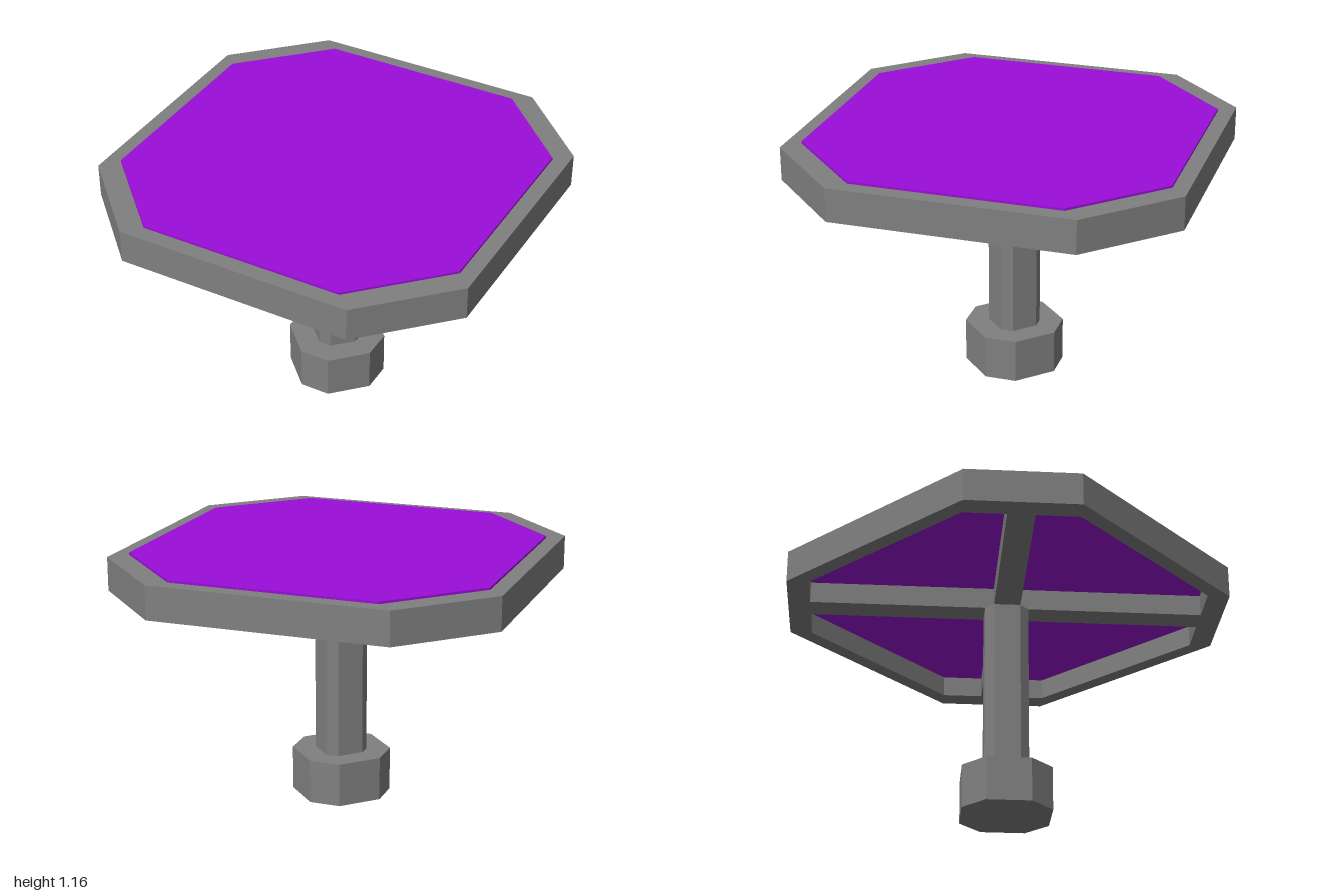
import * as THREE from 'three';

// Corners of an octagon: half-width r, half-length of its axis-facing sides s
const octagon = (r, s) =>
  [[r, -s], [r, s], [s, r], [-s, r], [-r, s], [-r, -s], [-s, -r], [s, -r]]
    .map(([x, y]) => new THREE.Vector2(x, y));

// Upright octagonal prism from y0 to y1, optionally hollow
function prism(outer, y0, y1, inner) {
  const shape = new THREE.Shape(octagon(...outer));
  if (inner) shape.holes.push(new THREE.Path(octagon(...inner)));
  const geo = new THREE.ExtrudeGeometry(shape, { depth: y1 - y0, bevelEnabled: false });
  return geo.rotateX(-Math.PI / 2).translate(0, y0, 0);
}

export function createModel() {
  const grey = new THREE.MeshStandardMaterial({ color: 0x808080 });
  grey.name = 'grey metal';
  const purple = new THREE.MeshStandardMaterial({ color: 0x9b0ed8 });
  purple.name = 'purple top';

  const table = new THREE.Group();
  table.name = 'table';
  const add = (name, geometry, material) => {
    const mesh = new THREE.Mesh(geometry, material);
    mesh.name = name;
    table.add(mesh);
  };

  // Foot and column
  add('foot', prism([0.2, 0.1], 0, 0.2), grey);
  add('column', prism([0.1, 0.06], 0.2, 1), grey);

  // Rim with the panel set into it, standing slightly proud
  add('rim', prism([1, 0.25], 1, 1.15, [0.9, 0.25]), grey);
  add('panel', prism([0.9, 0.25], 1.1, 1.16), purple);

  // Crossed support beams under the panel
  add('beamAcross', new THREE.BoxGeometry(1.8, 0.1, 0.12).translate(0, 1.05, 0), grey);
  for (const side of [1, -1]) {
    add('beamAlong', new THREE.BoxGeometry(0.12, 0.1, 0.84).translate(0, 1.05, side * 0.48), grey);
  }
  return table;
}
